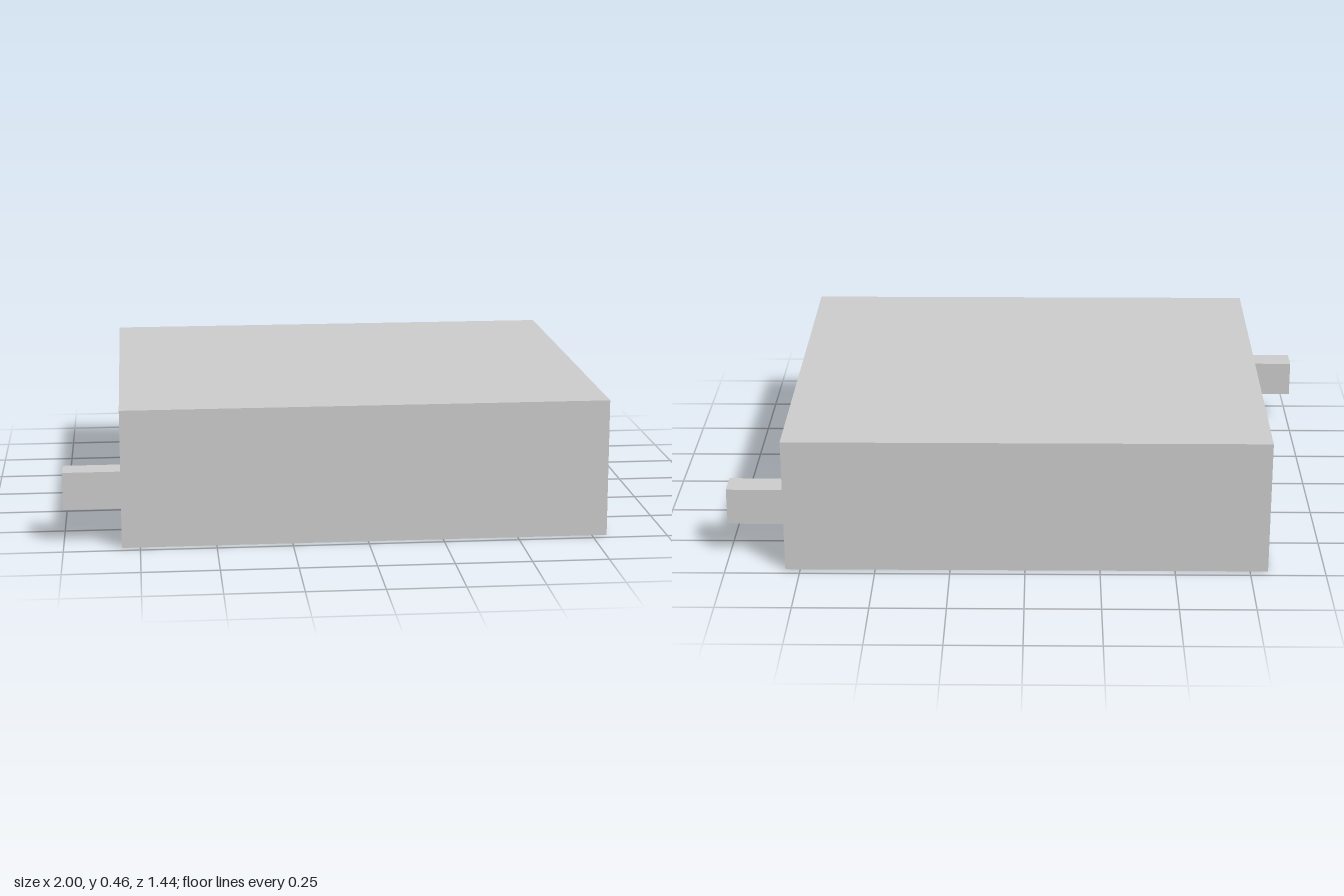
import * as THREE from 'three';

const X0 = -0.81, X1 = 0.8, Z = 0.72;       // housing footprint
const SLOT_DEPTH = 0.2;
const PIN_R = [-0.62, -0.525], PIN_L = [0.575, 0.67]; // z ranges of the side pins

const material = new THREE.MeshStandardMaterial({ color: 0xcccccc, flatShading: true });

// Footprint drawn in (x, -z), with optional slots cut into both sides
function footprint(slots) {
  const pts = [[X0, -Z], [X1, -Z]];
  if (slots) {
    const [a, b] = [-PIN_R[1], -PIN_R[0]];
    pts.push([X1, a], [X1 - SLOT_DEPTH, a], [X1 - SLOT_DEPTH, b], [X1, b]);
  }
  pts.push([X1, Z], [X0, Z]);
  if (slots) {
    const [a, b] = [-PIN_L[0], -PIN_L[1]];
    pts.push([X0, a], [X0 + SLOT_DEPTH, a], [X0 + SLOT_DEPTH, b], [X0, b]);
  }
  return new THREE.Shape(pts.map(([x, y]) => new THREE.Vector2(x, y)));
}

// Round-cornered opening, shrunk by an inset
function opening(inset) {
  const x0 = -0.27 + inset, x1 = -inset, y0 = -0.15 + inset, y1 = 0.2 - inset, r = 0.025;
  const p = new THREE.Path();
  p.absarc(x1 - r, y1 - r, r, 0, Math.PI / 2);
  p.absarc(x0 + r, y1 - r, r, Math.PI / 2, Math.PI);
  p.absarc(x0 + r, y0 + r, r, Math.PI, Math.PI * 1.5);
  p.absarc(x1 - r, y0 + r, r, Math.PI * 1.5, Math.PI * 2);
  p.closePath();
  return p;
}

function addMesh(parent, name, geometry) {
  const mesh = new THREE.Mesh(geometry, material);
  mesh.name = name;
  parent.add(mesh);
  return mesh;
}

export function createModel() {
  const group = new THREE.Group();
  const housing = new THREE.Group();
  housing.name = 'housing';
  group.add(housing);

  // Housing as stacked layers: bottom y, top y, side slots, opening inset (null = solid)
  const layers = [
    ['basePlate', 0, 0.085, false, 0],
    ['lowerSlotLayer', 0.085, 0.15, true, 0],
    ['upperSlotLayer', 0.15, 0.245, true, 0.03],
    ['innerLayer', 0.245, 0.3, false, 0.03],
    ['topBlock', 0.3, 0.46, false, null],
  ];
  for (const [name, y0, y1, slots, inset] of layers) {
    const shape = footprint(slots);
    if (inset !== null) shape.holes.push(opening(inset));
    const geo = new THREE.ExtrudeGeometry(shape, { depth: y1 - y0, bevelEnabled: false, curveSegments: 4 });
    geo.rotateX(-Math.PI / 2).translate(0, y0, 0);
    addMesh(housing, name, geo);
  }

  // Square pins sticking out of the side slots
  const pins = [
    ['leftPin', X1 - SLOT_DEPTH, 1, PIN_R],
    ['rightPin', -1, X0 + SLOT_DEPTH, PIN_L],
  ];
  for (const [name, x0, x1, [z0, z1]] of pins) {
    const pin = addMesh(group, name, new THREE.BoxGeometry(x1 - x0, 0.125, z1 - z0));
    pin.position.set((x0 + x1) / 2, 0.1825, (z0 + z1) / 2);
  }
  return group;
}
